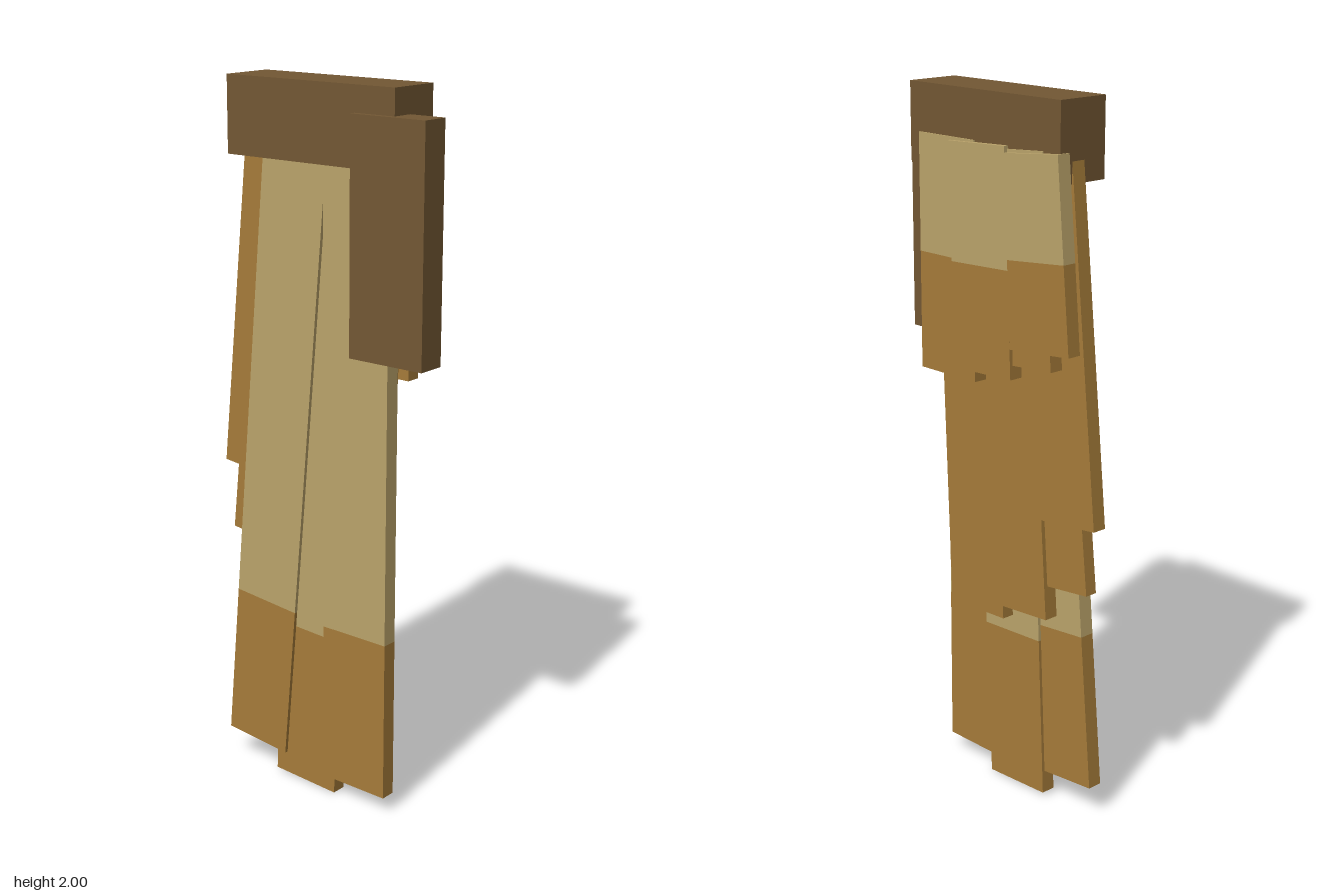
import * as THREE from 'three';

const mat = (name, color) => {
  const m = new THREE.MeshStandardMaterial({ color });
  m.name = name;
  return m;
};

export function createModel() {
  const model = new THREE.Group();
  model.name = 'wing';
  const brown = mat('dark brown', 0x735834);
  const tan = mat('tan', 0xbba46b);
  const ochre = mat('ochre', 0xa67c3a);
  const teal = mat('teal', 0x4a9a92);

  // Box given by its minimum and maximum corners
  function box(name, material, min, max, parent = model) {
    const size = max.map((v, i) => v - min[i]);
    const mesh = new THREE.Mesh(new THREE.BoxGeometry(...size), material);
    mesh.position.set(...max.map((v, i) => (v + min[i]) / 2));
    mesh.name = name;
    parent.add(mesh);
  }

  // Feather leaning from its lower outer corner, with an ochre tip of length `tip`
  const WIDTH = 0.215;
  function feather(name, [x, y, tilt, top, tip], z0, z1) {
    const g = new THREE.Group();
    g.name = name;
    g.position.set(x, y, 0);
    const a = THREE.MathUtils.degToRad(tilt);
    g.rotation.z = -a;
    const length = (top - y) / Math.cos(a);
    const split = Math.min(tip, length);
    box(name + 'Tip', ochre, [0, 0, z0], [WIDTH, split, z1], g);
    if (split < length) box(name + 'Base', tan, [0, split, z0], [WIDTH, length, z1], g);
    model.add(g);
  }

  // Wing arm, wrist and joint
  box('armBar', brown, [-0.29, 1.79, -0.082], [0.272, 2, 0.075]);
  box('wristBlock', brown, [0.145, 1.3, 0.012], [0.38, 1.93, 0.093]);
  box('joint', teal, [0.18, 1.69, -0.014], [0.316, 1.81, 0.013]);

  // Feather rows: [x, y, tilt in degrees, top height, tip length]
  const longRow = [
    [0.04, 0.05, 0, 1.86, 0.46],
    [-0.145, 0.01, 2.6, 1.86, 0.47],
    [-0.32, 0.092, 5.1, 1.86, 0.45],
  ];
  const middleRow = [
    [-0.029, 0.533, 2.2, 1.86, 2],
    [-0.21, 0.59, 4, 1.86, 2],
    [-0.35, 0.70, 6, 1.86, 2],
    [-0.385, 0.895, 5.7, 1.86, 2],
  ];
  const shortRow = [
    [0.02, 1.225, 0, 1.87, 0.325],
    [-0.128, 1.263, 2.3, 1.87, 0.29],
    [-0.267, 1.31, 3.7, 1.87, 0.26],
    [-0.34, 1.365, 5.1, 1.87, 0.235],
  ];

  // Neighbouring feathers alternate in depth
  longRow.forEach((f, i) => feather('longFeather' + (i + 1), f, i % 2 ? 0.019 : 0.028, i % 2 ? 0.062 : 0.072));
  middleRow.forEach((f, i) => feather('middleFeather' + (i + 1), f, i % 2 ? -0.04 : -0.028, i % 2 ? 0.002 : 0.009));
  shortRow.forEach((f, i) => feather('shortFeather' + (i + 1), f, i % 2 ? -0.096 : -0.086, i % 2 ? -0.055 : -0.045));

  return model;
}
